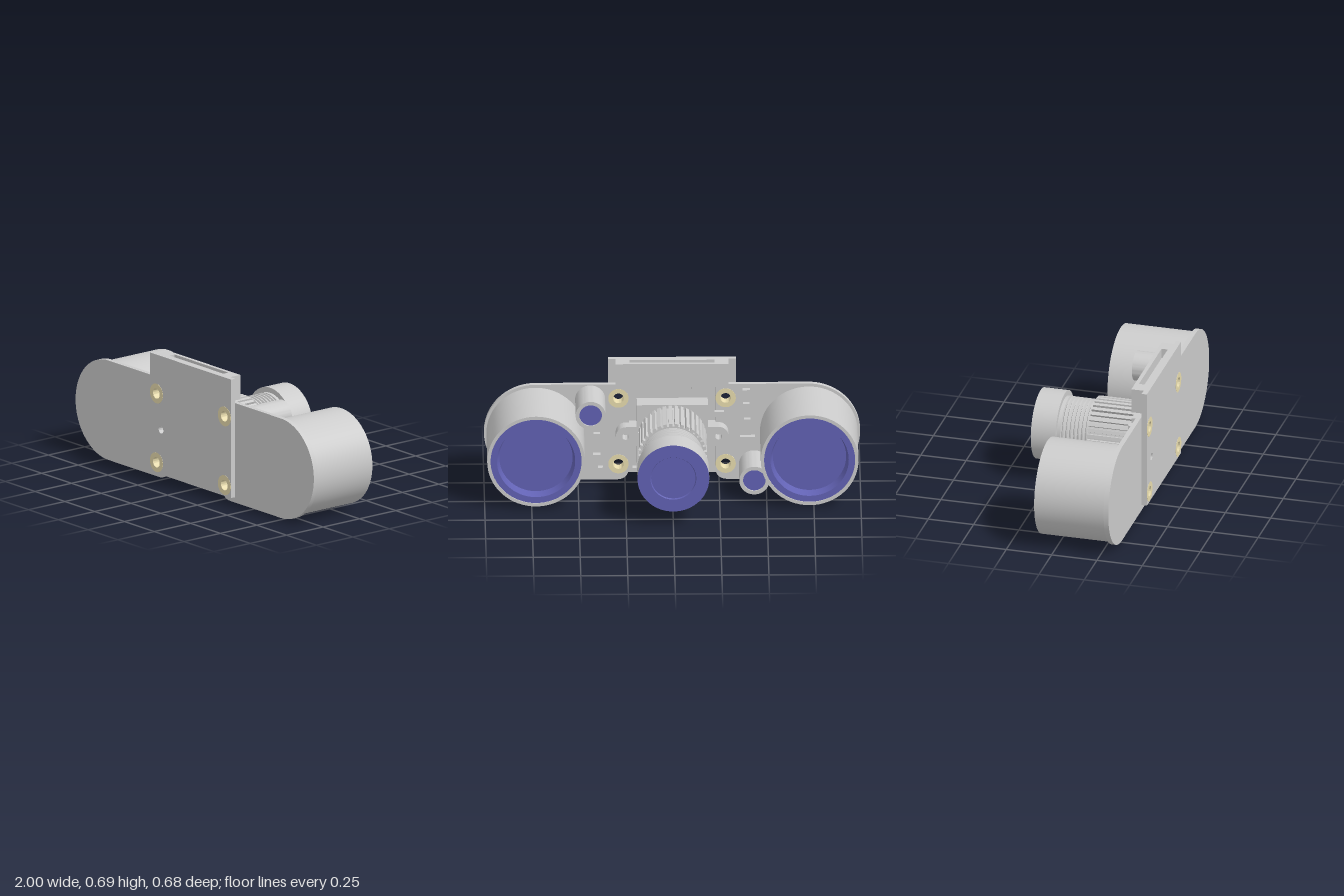
import * as THREE from 'three';
import { toCreasedNormals } from 'three/addons/utils/BufferGeometryUtils.js';

const grey = new THREE.MeshStandardMaterial({ color: 0xcccccc, side: THREE.DoubleSide });
const glass = new THREE.MeshStandardMaterial({ color: 0x6262b4, side: THREE.DoubleSide });
const brass = new THREE.MeshStandardMaterial({ color: 0xe8dcae, side: THREE.DoubleSide });

const MID = 0.275;              // height of the optical axes
const WING_BACK = 0.287, BOARD_BACK = 0.313, BOARD_FRONT = 0.342;
const SCREWS = [[-0.285, 0.47], [0.285, 0.47], [-0.285, 0.09], [0.285, 0.09]];

function add(group, name, geometry, material = grey) {
  const mesh = new THREE.Mesh(geometry, material);
  mesh.name = name;
  group.add(mesh);
  return mesh;
}

// Box given by its limits on each axis
function box(group, name, x0, x1, y0, y1, z0, z1) {
  const g = new THREE.BoxGeometry(x1 - x0, y1 - y0, z1 - z0);
  add(group, name, g).position.set((x0 + x1) / 2, (y0 + y1) / 2, (z0 + z1) / 2);
}

// Turned part facing -z; profile pairs are [radius, z], running from +z to -z
function turned(group, name, x, y, profile, material = grey) {
  const points = profile.map(([r, z]) => new THREE.Vector2(r, -z));
  const g = new THREE.LatheGeometry(points, 64).rotateX(-Math.PI / 2);
  add(group, name, toCreasedNormals(g, 0.5), material).position.set(x, y, 0);
}

// Flat shape extruded from z0 to z1
function plate(group, name, shape, z0, z1, material = grey) {
  const g = new THREE.ExtrudeGeometry(shape, { depth: z1 - z0, bevelEnabled: false, curveSegments: 32 });
  add(group, name, toCreasedNormals(g, 0.5), material).position.z = z0;
}

function circle(x, y, r) {
  return new THREE.Path().absarc(x, y, r, 0, Math.PI * 2, true);
}

// Side board: round outer end, small rounded inner corners
function wingShape(s) {
  const shape = new THREE.Shape();
  const r = 0.07, inner = 0.23, end = 0.725, R = 0.275;
  shape.moveTo(s * (inner + r), 0);
  shape.lineTo(s * end, 0);
  shape.absarc(s * end, R, R, -Math.PI / 2, Math.PI / 2, s < 0);
  shape.lineTo(s * inner, 2 * R);
  shape.lineTo(s * inner, r);
  shape.quadraticCurveTo(s * inner, 0, s * (inner + r), 0);
  for (const [x, y] of SCREWS) if (x * s > 0) shape.holes.push(circle(x, y, 0.03));
  return shape;
}

// Infrared lamp with a recessed window
function lamp(group, x) {
  turned(group, 'lampHousing', x, 0.273, [[0.26, WING_BACK], [0.26, -0.1], [0.242, -0.1], [0.242, -0.09]]);
  turned(group, 'lampWindow', x, 0.273, [[0.242, -0.095], [0.208, -0.095], [0.195, -0.045], [0, -0.045]], glass);
}

// Small light sensor tube
function sensor(group, x, y) {
  turned(group, 'sensorTube', x, y, [[0.08, WING_BACK], [0.08, 0.066], [0.06, 0.066], [0.06, 0.08]]);
  turned(group, 'sensorWindow', x, y, [[0.06, 0.075], [0, 0.075]], glass);
}

export function createModel() {
  const model = new THREE.Group();
  model.name = 'cameraModule';

  // Side boards and lamps
  for (const s of [-1, 1]) {
    plate(model, s > 0 ? 'leftBoard' : 'rightBoard', wingShape(s), WING_BACK, BOARD_BACK);
    lamp(model, s * 0.727);
  }
  sensor(model, 0.435, 0.465);
  sensor(model, -0.435, 0.085);

  // Centre board
  const centre = new THREE.Shape();
  centre.moveTo(-0.34, 0.03).lineTo(0.34, 0.03).lineTo(0.34, 0.685).lineTo(-0.34, 0.685).closePath();
  for (const [x, y] of SCREWS) centre.holes.push(circle(x, y, 0.03));
  centre.holes.push(circle(-0.247, 0.277, 0.02));
  plate(model, 'centreBoard', centre, BOARD_BACK, BOARD_FRONT);

  // Brass eyelets through both boards
  for (const [x, y] of SCREWS) {
    const ring = new THREE.Shape().absarc(x, y, 0.054, 0, Math.PI * 2, false);
    ring.holes.push(circle(x, y, 0.028));
    plate(model, 'eyelet', ring, WING_BACK - 0.002, BOARD_FRONT + 0.001, brass);
  }

  // Cable connector with an open slot along the top
  box(model, 'connectorBase', -0.3, 0.3, 0.55, 0.63, 0.245, BOARD_BACK);
  box(model, 'connectorBackWall', -0.225, 0.225, 0.63, 0.685, 0.245, 0.266);
  box(model, 'connectorFrontWall', -0.225, 0.225, 0.63, 0.685, 0.3, BOARD_BACK);
  for (const s of [-1, 1]) {
    const a = s * 0.225, b = s * 0.3;
    box(model, 'connectorEnd', Math.min(a, b), Math.max(a, b), 0.63, 0.685, 0.245, BOARD_BACK);
  }
  for (let i = 0; i < 22; i++) {
    const x = -0.21 + i * 0.02;
    box(model, 'connectorPin', x - 0.005, x + 0.005, 0.515, 0.55, 0.298, BOARD_BACK);
  }

  // Lens mount: square base with two drilled lugs
  box(model, 'mountBase', -0.19, 0.19, 0.09, 0.46, 0.215, BOARD_BACK);
  for (const s of [-1, 1]) {
    const lug = new THREE.Shape();
    lug.moveTo(s * 0.18, MID - 0.055).lineTo(s * 0.245, MID - 0.055);
    lug.absarc(s * 0.245, MID, 0.055, -Math.PI / 2, Math.PI / 2, s < 0);
    lug.lineTo(s * 0.18, MID + 0.055);
    lug.holes.push(circle(s * 0.247, MID, 0.018));
    plate(model, 'mountLug', lug, 0.222, BOARD_BACK);
  }

  // Ribbed barrel
  const ribs = new THREE.Shape();
  const count = 36;
  for (let i = 0; i < count; i++) {
    [[0, 0.168], [0.3, 0.168], [0.36, 0.183], [0.94, 0.183]].forEach(([f, r], k) => {
      const a = ((i + f) / count) * Math.PI * 2;
      const x = r * Math.cos(a), y = MID + r * Math.sin(a);
      if (i + k === 0) ribs.moveTo(x, y);
      else ribs.lineTo(x, y);
    });
  }
  ribs.closePath();
  plate(model, 'ribbedBarrel', ribs, -0.033, 0.215);

  // Threaded neck
  const thread = [[0.15, -0.03]];
  for (let i = 0; i < 7; i++) {
    const z = -0.034 - i * 0.0215;
    thread.push([0.149, z], [0.163, z - 0.006], [0.163, z - 0.013], [0.149, z - 0.019]);
  }
  thread.push([0.163, -0.186], [0.163, -0.21]);
  turned(model, 'threadedNeck', 0, MID, thread);

  // Lens head and its glass
  turned(model, 'lensHead', 0, MID, [[0.15, -0.205], [0.191, -0.205], [0.191, -0.34]]);
  turned(model, 'lensGlass', 0, MID, [[0.191, -0.34], [0.122, -0.34], [0.118, -0.332], [0, -0.332]], glass);

  // Small components on the boards: x, y, width, height, board surface
  const chips = [
    [0.395, 0.33, 0.07, 0.05, WING_BACK], [0.4, 0.25, 0.035, 0.05, WING_BACK],
    [0.4, 0.13, 0.04, 0.05, WING_BACK], [0.38, 0.06, 0.025, 0.04, WING_BACK],
    [-0.395, 0.5, 0.04, 0.05, WING_BACK], [-0.395, 0.42, 0.035, 0.05, WING_BACK],
    [-0.4, 0.33, 0.035, 0.05, WING_BACK], [-0.4, 0.23, 0.08, 0.05, WING_BACK],
    [-0.25, 0.385, 0.05, 0.03, WING_BACK],
    [0.19, 0.055, 0.04, 0.025, BOARD_BACK], [0.14, 0.055, 0.04, 0.025, BOARD_BACK],
    [-0.08, 0.055, 0.04, 0.025, BOARD_BACK], [-0.13, 0.055, 0.04, 0.025, BOARD_BACK],
  ];
  for (const [x, y, w, h, z] of chips) {
    box(model, 'chip', x - w / 2, x + w / 2, y - h / 2, y + h / 2, z - 0.028, z);
  }
  return model;
}
